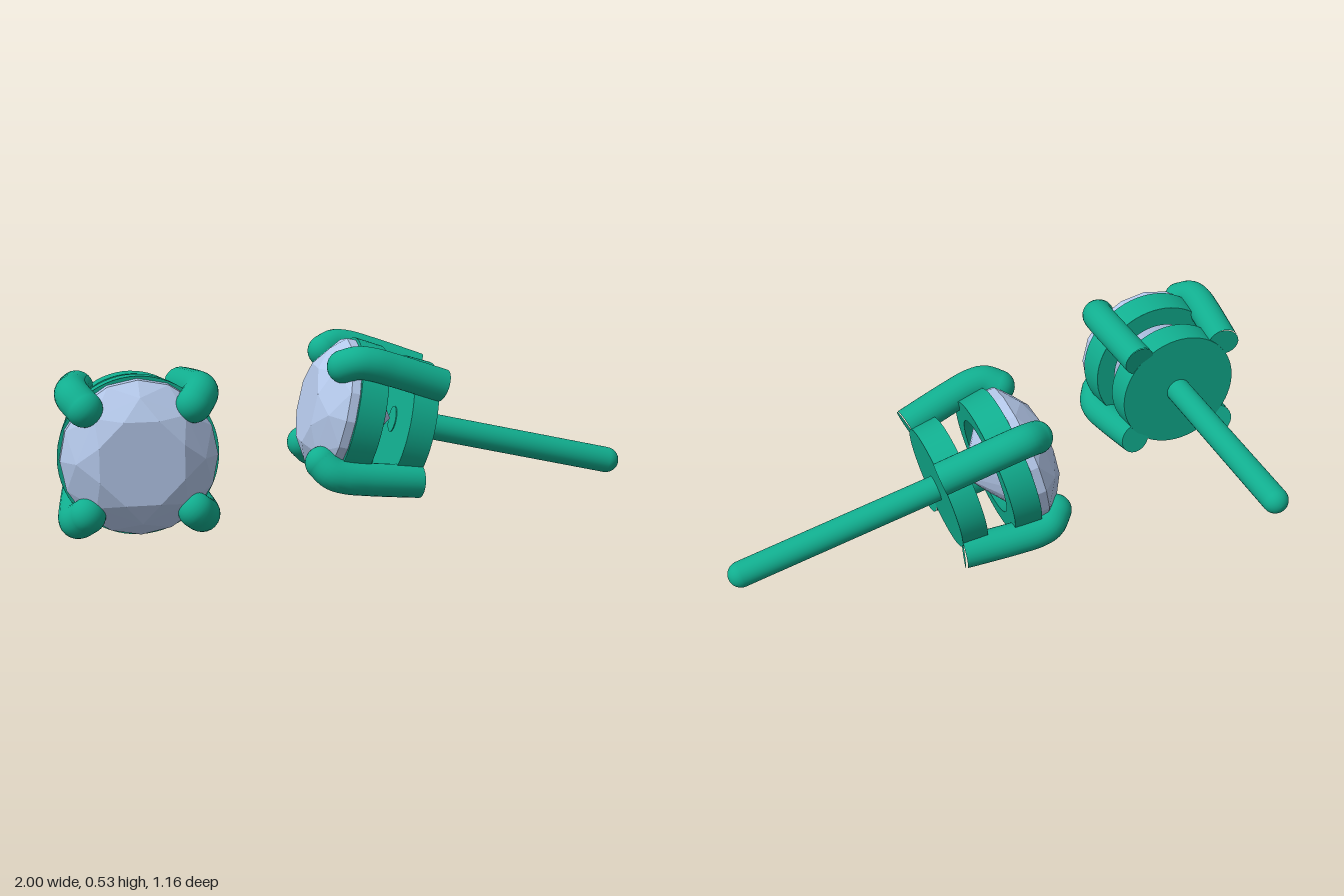
import * as THREE from 'three';
import { ConvexGeometry } from 'three/addons/geometries/ConvexGeometry.js';

const metal = new THREE.MeshStandardMaterial({ color: 0x11ae8f });
const stone = new THREE.MeshStandardMaterial({ color: 0xb4c8ea, flatShading: true });

function add(parent, name, geometry, material) {
  const mesh = new THREE.Mesh(geometry, material);
  mesh.name = name;
  parent.add(mesh);
  return mesh;
}

// Solid of revolution about z from [radius, z] points; each straight run keeps crisp edges
function turned(profile, segments = 64) {
  const points = [];
  profile.forEach(([r, z], i) => {
    points.push(new THREE.Vector2(r, z));
    const next = profile[i + 1];
    if (!next) return;
    // support points just inside each end of a run hold the corners sharp
    for (const t of [0.02, 0.98]) {
      points.push(new THREE.Vector2(r + (next[0] - r) * t, z + (next[1] - z) * t));
    }
  });
  return new THREE.LatheGeometry(points, segments).rotateX(Math.PI / 2).scale(1, 1, -1 * -1);
}

// Ring of points used for the cut stone
function ring(count, radius, z, offset = 0) {
  return Array.from({ length: count }, (_, i) => {
    const a = ((i + offset) / count) * Math.PI * 2;
    return new THREE.Vector3(Math.cos(a) * radius, Math.sin(a) * radius, z);
  });
}

// Brilliant-cut gem: table, crown, girdle, pavilion and point
function gemGeometry() {
  return new ConvexGeometry([
    ...ring(8, 0.14, 0.58, 0.5),
    ...ring(8, 0.197, 0.545),
    ...ring(16, 0.243, 0.492),
    ...ring(16, 0.243, 0.462),
    ...ring(8, 0.1, 0.352, 0.5),
    new THREE.Vector3(0, 0, 0.28),
  ]);
}

// One stud, facing +z, with its axis on z
function createStud(name) {
  const stud = new THREE.Group();
  stud.name = name;

  add(stud, 'gem', gemGeometry(), stone);

  // Solid base disc, slightly wider towards the gem
  const base = add(stud, 'baseDisc', new THREE.CylinderGeometry(0.224, 0.218, 0.09, 64), metal);
  base.rotation.x = Math.PI / 2;
  base.position.z = 0.225;

  // Gallery ring supporting the gem
  add(stud, 'galleryRing', turned([
    [0.17, 0.365], [0.24, 0.365], [0.25, 0.46], [0.22, 0.46], [0.17, 0.365],
  ]), metal);

  // Post with a rounded end
  const post = [];
  for (let i = 0; i <= 8; i++) {
    const a = (i / 8) * Math.PI / 2;
    post.push(new THREE.Vector2(Math.sin(a) * 0.045, -0.535 - Math.cos(a) * 0.045));
  }
  post.push(new THREE.Vector2(0.045, 0.273));
  add(stud, 'post', new THREE.LatheGeometry(post, 32).rotateX(Math.PI / 2), metal);
  const postCap = add(stud, 'postCap', new THREE.CircleGeometry(0.045, 32), metal);
  postCap.position.z = 0.273;

  // Four claws bending inward over the gem
  const path = new THREE.CatmullRomCurve3([
    [0.168, 0.176], [0.178, 0.26], [0.189, 0.36], [0.195, 0.44], [0.19, 0.485], [0.166, 0.524],
  ].map(([d, z]) => new THREE.Vector3(d * Math.SQRT2, 0, z)));
  const radius = 0.056;
  for (let i = 0; i < 4; i++) {
    const prong = new THREE.Group();
    prong.name = 'prong' + (i + 1);
    prong.rotation.z = Math.PI / 4 + i * Math.PI / 2;
    add(prong, 'prongShaft', new THREE.TubeGeometry(path, 32, radius, 24), metal);
    const tip = add(prong, 'prongTip', new THREE.SphereGeometry(radius, 24, 16), metal);
    tip.position.copy(path.getPoint(1));
    const end = add(prong, 'prongEnd', new THREE.CircleGeometry(radius, 24), metal);
    end.position.copy(path.getPoint(0));
    end.lookAt(end.position.clone().sub(path.getTangent(0)));
    stud.add(prong);
  }
  return stud;
}

export function createModel() {
  const model = new THREE.Group();
  model.name = 'studEarrings';

  // Stud facing the front
  const upright = createStud('frontFacingStud');
  upright.position.set(-0.75, 0.254, 0);

  // Stud turned sideways, resting on its post end
  const resting = createStud('restingStud');
  resting.rotation.set(0, -Math.PI / 2, -0.229, 'ZYX');
  resting.position.set(0.434, 0.176, 0);

  model.add(upright, resting);
  return model;
}
